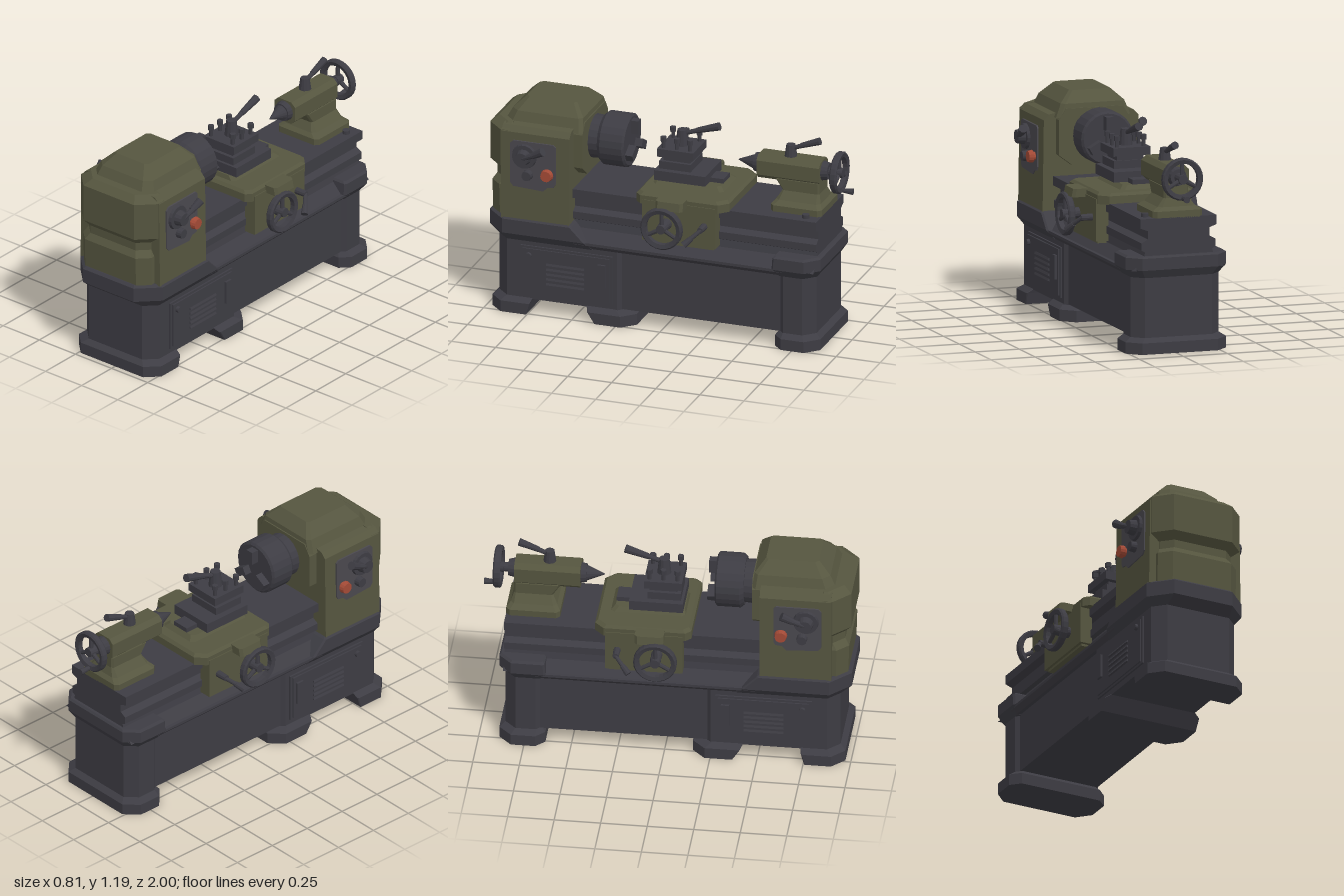
import * as THREE from 'three';

const paint = (name, color) => Object.assign(new THREE.MeshStandardMaterial({ color, flatShading: true }), { name });

export function createModel() {
  const olive = paint('olive paint', 0x55553f), dark = paint('dark iron', 0x3d3c43);
  const plateMat = paint('grey plate', 0x4a484e), red = paint('red button', 0xa34a36);
  const root = new THREE.Group();
  root.name = 'lathe';
  const body = new THREE.Group();
  body.name = 'machine';
  body.position.x = -0.022;
  root.add(body);

  const add = (name, geo, mat, parent = body) => {
    const m = new THREE.Mesh(geo, mat);
    m.name = name;
    parent.add(m);
    return m;
  };
  const box = (name, mat, [x, y, z], [w, h, d], parent) => {
    const m = add(name, new THREE.BoxGeometry(w, h, d), mat, parent);
    m.position.set(x, y, z);
    return m;
  };
  // round bar from point a to point b
  const rod = (name, mat, a, b, r1, r2 = r1, n = 14, parent = body) => {
    const A = new THREE.Vector3(...a), B = new THREE.Vector3(...b), d = B.clone().sub(A);
    const m = add(name, new THREE.CylinderGeometry(r2, r1, d.length(), n), mat, parent);
    m.position.copy(A).add(B).multiplyScalar(0.5);
    m.quaternion.setFromUnitVectors(new THREE.Vector3(0, 1, 0), d.normalize());
    return m;
  };
  // stacked chamfered rectangles: [y, half width, back z, front z, back chamfer, front chamfer]
  const loft = (name, mat, levels) => {
    const pos = [], idx = [];
    for (const [y, w, z0, z1, c0, c1] of levels)
      for (const [x, z] of [[c1 - w, z1], [w - c1, z1], [w, z1 - c1], [w, z0 + c0],
        [w - c0, z0], [c0 - w, z0], [-w, z0 + c0], [-w, z1 - c1]]) pos.push(x, y, z);
    const top = (levels.length - 1) * 8;
    for (let k = 0; k < top; k += 8)
      for (let i = 0; i < 8; i++) {
        const a = k + i, b = k + (i + 1) % 8;
        idx.push(a, b, b + 8, a, b + 8, a + 8);
      }
    for (let i = 1; i < 7; i++) idx.push(0, i + 1, i, top, top + i, top + i + 1);
    const g = new THREE.BufferGeometry();
    g.setAttribute('position', new THREE.Float32BufferAttribute(pos, 3));
    g.setIndex(idx);
    const flat = g.toNonIndexed();
    flat.computeVertexNormals();
    return add(name, flat, mat);
  };
  // symmetric cross-section (right half, bottom to top) run along z
  const rail = (name, mat, half, z0, z1) => {
    const pts = [...half, ...half.slice().reverse().map(([x, y]) => [-x, y])];
    const shape = new THREE.Shape(pts.map(p => new THREE.Vector2(...p)));
    const m = add(name, new THREE.ExtrudeGeometry(shape, { depth: z1 - z0, bevelEnabled: false }), mat);
    m.position.z = z0;
    return m;
  };
  // side plate outlined in (z, y), lying on the wall at s * x
  const sidePlate = (name, mat, pts, s, x, t) => {
    const shape = new THREE.Shape(pts.map(p => new THREE.Vector2(...p)));
    const g = new THREE.ExtrudeGeometry(shape, { depth: t, bevelEnabled: false }).rotateY(-Math.PI / 2);
    add(name, g, mat).position.x = s > 0 ? x + t : -x;
  };
  // spoked handwheel facing its local +z
  const handwheel = (name, r, grip) => {
    const g = new THREE.Group();
    g.name = name;
    body.add(g);
    const ring = [[r - 0.03, -0.014], [r - 0.008, -0.02], [r, -0.012], [r, 0.012], [r - 0.008, 0.02], [r - 0.03, 0.014], [r - 0.03, -0.014]];
    add('rim', new THREE.LatheGeometry(ring.map(p => new THREE.Vector2(...p)), 24).rotateX(Math.PI / 2), dark, g);
    rod('hub', dark, [0, 0, -0.03], [0, 0, 0.022], 0.03, 0.026, 14, g);
    for (let i = 0; i < 3; i++) {
      const a = Math.PI / 2 + i * Math.PI * 2 / 3;
      rod('spoke', dark, [0, 0, 0], [Math.cos(a) * (r - 0.02), Math.sin(a) * (r - 0.02), 0], 0.013, 0.011, 8, g);
    }
    if (grip) rod('grip', dark, [0, 0.015 - r, 0.01], [0, 0.015 - r, 0.078], 0.011, 0.018, 10, g);
    return g;
  };

  // pedestals and feet
  loft('frontCabinet', dark, [[0.08, 0.25, 0.22, 0.94, 0.03, 0.065], [0.43, 0.25, 0.22, 0.94, 0.03, 0.065]]);
  loft('rearPedestal', dark, [[0.08, 0.25, -0.86, -0.66, 0.06, 0.03], [0.43, 0.25, -0.86, -0.66, 0.06, 0.03]]);
  box('middlePanel', dark, [0, 0.255, -0.22], [0.46, 0.34, 0.9]);
  loft('frontFoot', dark, [[0, 0.285, 0.755, 0.97, 0.005, 0.07], [0.062, 0.285, 0.738, 0.97, 0.005, 0.07], [0.085, 0.25, 0.73, 0.942, 0.005, 0.065]]);
  loft('middleFoot', dark, [[0, 0.285, 0.15, 0.37, 0.07, 0.005], [0.062, 0.285, 0.15, 0.41, 0.07, 0.005], [0.085, 0.25, 0.2, 0.425, 0.06, 0.005]]);
  loft('rearFoot', dark, [[0, 0.285, -0.89, -0.64, 0.07, 0.05], [0.062, 0.285, -0.89, -0.64, 0.07, 0.05], [0.085, 0.25, -0.86, -0.66, 0.06, 0.03]]);

  // tray with raised ends
  loft('frontTray', dark, [[0.41, 0.25, 0.38, 0.942, 0.01, 0.065], [0.455, 0.285, 0.42, 1, 0.01, 0.11], [0.535, 0.285, 0.5, 1, 0.01, 0.11], [0.548, 0.27, 0.52, 0.985, 0.01, 0.105]]);
  loft('middleTray', dark, [[0.415, 0.25, -0.7, 0.5, 0.01, 0.01], [0.44, 0.275, -0.7, 0.5, 0.01, 0.01], [0.455, 0.275, -0.7, 0.5, 0.01, 0.01]]);
  loft('rearTray', dark, [[0.41, 0.25, -0.862, -0.66, 0.06, 0.01], [0.455, 0.285, -0.89, -0.635, 0.07, 0.01], [0.52, 0.285, -0.89, -0.64, 0.07, 0.01], [0.53, 0.27, -0.88, -0.65, 0.065, 0.01]]);

  // bed with side grooves
  rail('bed', dark, [[0.26, 0.45], [0.2, 0.51], [0.19, 0.55], [0.21, 0.56], [0.21, 0.6], [0.175, 0.62], [0.175, 0.665], [0.215, 0.68], [0.215, 0.73]], -0.865, 0.55);
  rod('bedStud', dark, [0.165, 0.725, -0.79], [0.165, 0.75, -0.79], 0.02);

  // headstock
  rail('headstockHousing', olive, [[0.275, 0.54], [0.268, 1.035], [0.24, 1.065], [0.19, 1.075]], 0.515, 0.9);
  rail('headstockNose', olive, [[0.12, 0.79], [0.2, 0.85], [0.2, 1.04], [0.16, 1.1]], 0.465, 0.6);
  loft('endCover', olive, [[0.54, 0.235, 0.85, 0.98, 0.005, 0.06], [0.71, 0.235, 0.85, 0.985, 0.005, 0.06], [0.745, 0.215, 0.85, 0.962, 0.005, 0.06],
    [0.79, 0.215, 0.85, 0.962, 0.005, 0.06], [0.83, 0.265, 0.85, 0.997, 0.005, 0.09], [1.04, 0.265, 0.85, 0.997, 0.005, 0.09], [1.075, 0.225, 0.85, 0.955, 0.005, 0.08]]);
  loft('topCover', olive, [[1.05, 0.21, 0.465, 0.92, 0.02, 0.05], [1.125, 0.18, 0.475, 0.88, 0.02, 0.04], [1.187, 0.115, 0.53, 0.815, 0.015, 0.02]]);

  // spindle and chuck
  const cy = 0.965;
  rod('spindleFlange', dark, [0, cy, 0.47], [0, cy, 0.4], 0.12, 0.115, 20);
  rod('chuckBevel', dark, [0, cy, 0.41], [0, cy, 0.39], 0.13, 0.147, 24);
  rod('chuck', dark, [0, cy, 0.39], [0, cy, 0.265], 0.147, 0.147, 24);
  rod('chuckFace', dark, [0, cy, 0.265], [0, cy, 0.255], 0.147, 0.135, 24);
  for (let i = 0; i < 3; i++) {
    const a = Math.PI / 2 + i * Math.PI * 2 / 3;
    box('chuckJaw', dark, [Math.cos(a) * 0.085, cy + Math.sin(a) * 0.085, 0.238], [0.075, 0.045, 0.05]).rotation.z = a;
  }

  // carriage
  loft('saddle', olive, [[0.725, 0.265, -0.375, 0.145, 0.05, 0.03], [0.772, 0.265, -0.375, 0.145, 0.05, 0.03], [0.787, 0.25, -0.36, 0.13, 0.05, 0.03]]);
  loft('saddleWing', olive, [[0.735, 0.345, -0.15, 0.005, 0.015, 0.015], [0.78, 0.335, -0.15, 0.005, 0.015, 0.015]]);
  loft('slideBase', olive, [[0.78, 0.13, -0.31, 0.1, 0.02, 0.02], [0.81, 0.1, -0.28, 0.09, 0.02, 0.02]]);
  box('slideScrewBlock', dark, [0, 0.81, -0.24], [0.1, 0.05, 0.08]);
  box('crossSlide', dark, [0, 0.84, -0.06], [0.26, 0.055, 0.29]);
  box('compoundSlide', dark, [0, 0.885, -0.02], [0.19, 0.05, 0.18]);
  box('toolPost', dark, [0, 0.92, -0.025], [0.15, 0.06, 0.15]);
  box('toolPostTop', dark, [0, 0.96, -0.025], [0.21, 0.045, 0.205]);
  for (const x of [-0.075, 0.075])
    for (const z of [-0.1, -0.025, 0.05]) {
      rod('clampBolt', dark, [x, 0.98, z], [x, 1.022, z], 0.011, 0.011, 8);
      rod('clampBoltHead', dark, [x, 1.018, z], [x, 1.045, z], 0.017, 0.017, 6);
    }
  rod('toolPostNut', dark, [0, 0.98, -0.03], [0, 1.07, -0.03], 0.038, 0.028, 12);
  rod('toolPostLever', dark, [0, 1.045, -0.03], [0, 1.08, -0.13], 0.012, 0.014, 10);
  rod('toolPostGrip', dark, [0, 1.075, -0.115], [0, 1.115, -0.24], 0.016, 0.023, 10);

  // tailstock
  loft('tailstockBase', olive, [[0.725, 0.14, -0.865, -0.575, 0.02, 0.02], [0.765, 0.14, -0.865, -0.575, 0.02, 0.02], [0.785, 0.105, -0.845, -0.595, 0.02, 0.02],
    [0.83, 0.07, -0.83, -0.62, 0.01, 0.01], [0.89, 0.07, -0.83, -0.58, 0.01, 0.01]]);
  rail('tailstockBody', olive, [[0.045, 0.875], [0.072, 0.9], [0.072, 0.98], [0.045, 1.005]], -0.83, -0.475);
  rod('quillCollar', dark, [0, 0.942, -0.48], [0, 0.942, -0.445], 0.058, 0.05, 16);
  rod('centrePoint', dark, [0, 0.942, -0.445], [0, 0.942, -0.35], 0.042, 0.003, 16);
  rod('tailstockCap', dark, [0, 0.945, -0.825], [0, 0.945, -0.865], 0.055, 0.045, 16);
  rod('tailstockScrew', dark, [0, 0.945, -0.86], [0, 0.945, -0.92], 0.025);
  const tailWheel = handwheel('tailstockWheel', 0.115, true);
  tailWheel.position.set(0, 0.945, -0.92);
  tailWheel.rotation.y = Math.PI;
  rod('quillLockNut', dark, [0, 1, -0.645], [0, 1.07, -0.645], 0.035, 0.025, 12);
  rod('quillLockLever', dark, [0, 1.045, -0.645], [0, 1.075, -0.72], 0.012, 0.013, 10);
  rod('quillLockGrip', dark, [0, 1.07, -0.705], [0, 1.11, -0.81], 0.015, 0.021, 10);

  // parts repeated on both sides
  for (const s of [1, -1]) {
    // apron, its handwheel and lever
    box('apron', olive, [s * 0.235, 0.635, -0.107], [0.07, 0.23, 0.415]);
    box('apronFoot', olive, [s * 0.23, 0.517, -0.107], [0.05, 0.02, 0.38]);
    rod('wheelShaft', dark, [s * 0.26, 0.63, -0.037], [s * 0.345, 0.63, -0.037], 0.032, 0.024);
    const wheel = handwheel('carriageWheel', 0.117, false);
    wheel.position.set(s * 0.345, 0.63, -0.037);
    wheel.rotation.y = s * Math.PI / 2;
    rod('feedLeverHub', dark, [s * 0.265, 0.643, -0.25], [s * 0.335, 0.643, -0.25], 0.02, 0.017, 10);
    rod('feedLever', dark, [s * 0.325, 0.645, -0.255], [s * 0.365, 0.6, -0.205], 0.011, 0.012, 10);
    rod('feedLeverGrip', dark, [s * 0.36, 0.605, -0.212], [s * 0.385, 0.57, -0.175], 0.015, 0.02, 10);

    // headstock controls
    sidePlate('controlPanel', plateMat, [[0.83, 0.73], [0.66, 0.72], [0.635, 0.745], [0.6, 0.75], [0.59, 0.77], [0.59, 0.98], [0.605, 0.993], [0.83, 0.993], [0.847, 0.975], [0.847, 0.75]], s, 0.27, 0.009);
    rod('speedDial', dark, [s * 0.27, 0.91, 0.765], [s * 0.295, 0.91, 0.765], 0.072, 0.066, 18);
    rod('speedHub', dark, [s * 0.29, 0.91, 0.765], [s * 0.335, 0.91, 0.765], 0.045, 0.036);
    rod('speedLever', dark, [s * 0.32, 0.91, 0.765], [s * 0.335, 0.947, 0.69], 0.015, 0.015, 10);
    rod('speedGrip', dark, [s * 0.33, 0.94, 0.7], [s * 0.34, 0.975, 0.64], 0.018, 0.024, 10);
    rod('blackButton', dark, [s * 0.27, 0.807, 0.745], [s * 0.312, 0.807, 0.745], 0.03, 0.026);
    rod('redButtonStem', red, [s * 0.27, 0.823, 0.632], [s * 0.295, 0.823, 0.632], 0.024);
    rod('redButton', red, [s * 0.292, 0.823, 0.632], [s * 0.318, 0.823, 0.632], 0.035, 0.03);

    // cabinet door with louvres, handle and lock
    box('doorFrame', dark, [s * 0.252, 0.25, 0.535], [0.016, 0.275, 0.52]);
    box('door', dark, [s * 0.26, 0.25, 0.535], [0.016, 0.25, 0.49]);
    for (let i = 0; i < 5; i++)
      box('louvre', dark, [s * 0.269, 0.185 + i * 0.028, 0.537], [0.012, 0.013, 0.215]).rotation.z = s * 0.4;
    box('doorHandle', dark, [s * 0.272, 0.275, 0.33], [0.018, 0.13, 0.045]);
    rod('doorLock', dark, [s * 0.26, 0.338, 0.745], [s * 0.285, 0.338, 0.745], 0.017);
  }
  return root;
}
